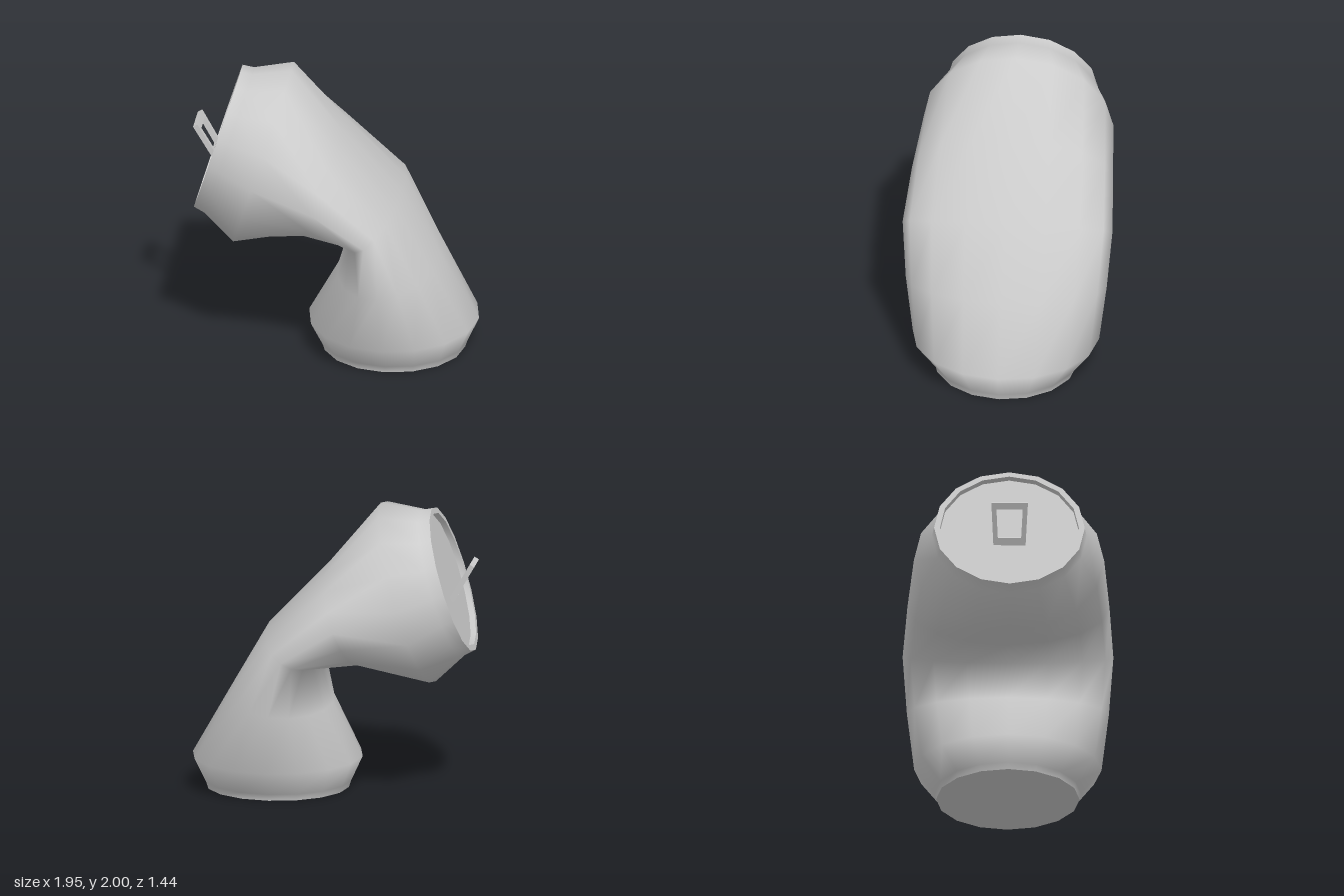
import * as THREE from 'three';

const SIDES = 16;
const material = new THREE.MeshStandardMaterial({ color: 0xcccccc });

// Skin through elliptical rings: [outer x, outer y, inner x, inner y, half width in z]
function loft(rings) {
  const positions = [], index = [];
  for (const [ox, oy, ix, iy, w] of rings) {
    for (let j = 0; j < SIDES; j++) {
      const a = (j / SIDES) * Math.PI * 2;
      const t = (1 + Math.cos(a)) / 2;
      positions.push(ix + (ox - ix) * t, iy + (oy - iy) * t, w * Math.sin(a));
    }
  }
  for (let i = 0; i < rings.length - 1; i++) {
    for (let j = 0; j < SIDES; j++) {
      const a = i * SIDES + j, b = i * SIDES + (j + 1) % SIDES;
      index.push(a, a + SIDES, b, b, a + SIDES, b + SIDES);
    }
  }
  const geometry = new THREE.BufferGeometry();
  geometry.setAttribute('position', new THREE.Float32BufferAttribute(positions, 3));
  geometry.setIndex(index);
  geometry.computeVertexNormals();
  return geometry;
}

// Ring collapsed to its centre, used to close a cap
function centre([ox, oy, ix, iy]) {
  const x = (ox + ix) / 2, y = (oy + iy) / 2;
  return [x, y, x, y, 0];
}

export function createModel() {
  const group = new THREE.Group();
  const add = (name, geometry) => {
    const mesh = new THREE.Mesh(geometry, material);
    mesh.name = name;
    group.add(mesh);
    return mesh;
  };

  // Bent can body, from the base up to the tilted rim
  const body = [
    [0.88, 0, -0.10, 0, 0.49],
    [0.895, 0.045, -0.115, 0.045, 0.50],
    [0.975, 0.22, -0.195, 0.22, 0.64],
    [0.72, 0.67, 0.01, 0.59, 0.69],
    [0.45, 1.14, 0.10, 0.89, 0.72],
    [0.04, 1.57, -0.20, 0.89, 0.69],
    [-0.32, 2.0, -0.70, 0.76, 0.65],
    [-0.59, 1.955, -0.90, 0.95, 0.53],
    [-0.67, 1.97, -0.975, 0.99, 0.515],
  ];
  add('body', loft(body));

  // Flat base
  add('base', loft([centre(body[0]), body[0]]));

  // Rim, recess wall and sunken lid
  const rimOuter = body[body.length - 1];
  const rimInner = [-0.682, 1.932, -0.963, 1.028, 0.475];
  const lidEdge = [-0.644, 1.92, -0.925, 1.016, 0.475];
  add('rim', loft([rimOuter, rimInner]));
  add('recessWall', loft([rimInner, lidEdge]));
  add('lid', loft([lidEdge, centre(lidEdge)]));

  // Raised pull tab: a slightly tapered frame
  const outline = new THREE.Shape([
    [-0.11, 0], [0.11, 0], [0.125, 0.29], [-0.125, 0.29],
  ].map(([x, y]) => new THREE.Vector2(x, y)));
  outline.holes.push(new THREE.Path([
    [-0.08, 0.05], [-0.09, 0.245], [0.09, 0.245], [0.08, 0.05],
  ].map(([x, y]) => new THREE.Vector2(x, y))));
  const tab = new THREE.ExtrudeGeometry(outline, { depth: 0.036, bevelEnabled: false });
  tab.translate(0, 0, -0.018).rotateY(-Math.PI / 2).rotateZ(0.52);
  add('pullTab', tab).position.set(-0.82, 1.352, 0);

  return group;
}
